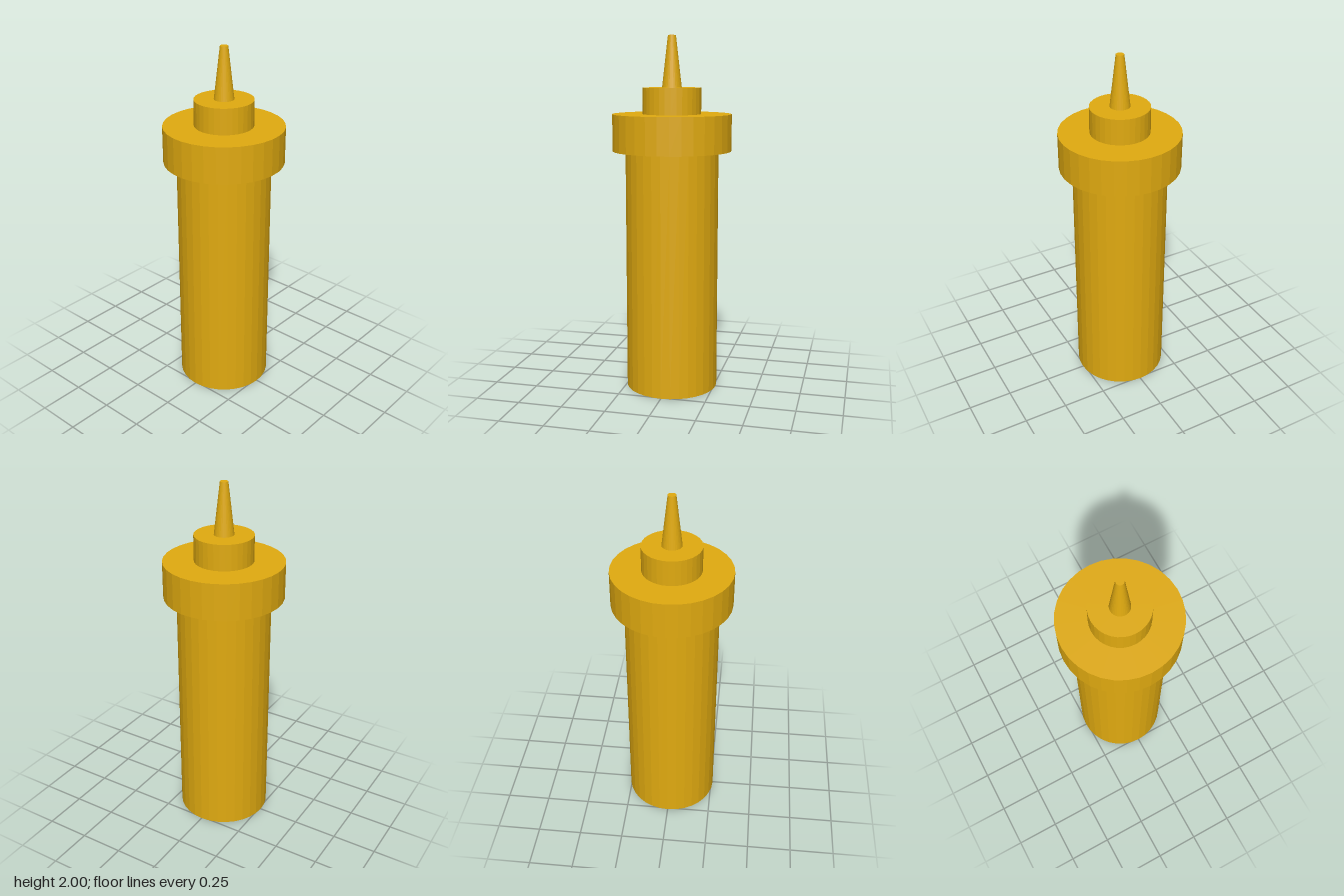
import * as THREE from 'three';

export function createModel() {
  const model = new THREE.Group();
  model.name = 'squeezeBottle';

  const mustard = new THREE.MeshStandardMaterial({ color: 0xe0aa10 });
  mustard.name = 'mustard yellow';
  mustard.flatShading = true;

  // Upright 32-sided section between two heights
  function addSection(name, bottomRadius, topRadius, y0, y1) {
    const geometry = new THREE.CylinderGeometry(topRadius, bottomRadius, y1 - y0, 32);
    geometry.translate(0, (y0 + y1) / 2, 0);
    const mesh = new THREE.Mesh(geometry, mustard);
    mesh.name = name;
    model.add(mesh);
  }

  addSection('body', 0.261, 0.261, 0, 1.365);
  addSection('cap', 0.333, 0.333, 1.365, 1.57);
  addSection('collar', 0.163, 0.163, 1.57, 1.715);
  addSection('nozzle', 0.055, 0.022, 1.715, 2);

  return model;
}
